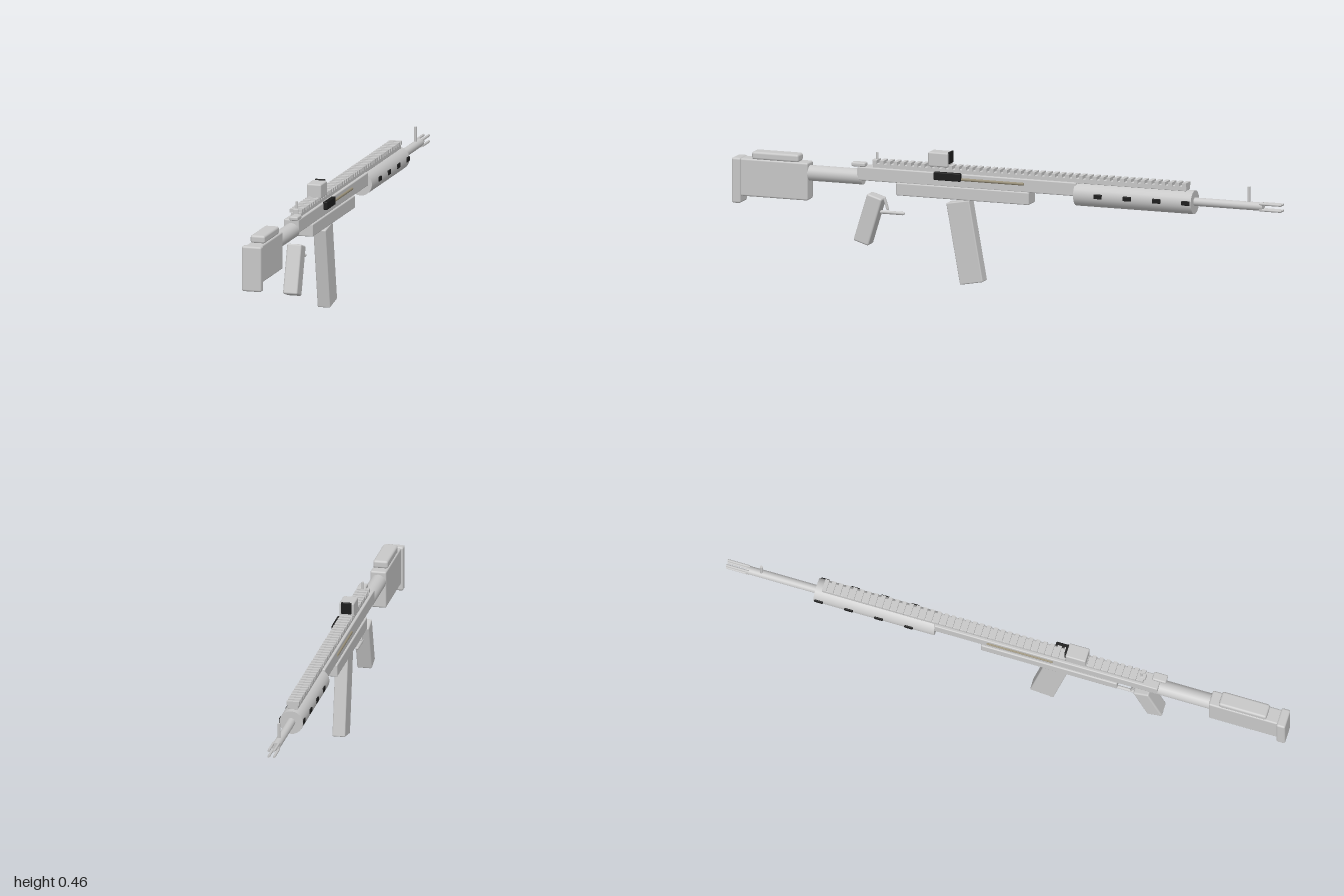
import * as THREE from 'three';
import { RoundedBoxGeometry } from 'three/addons/geometries/RoundedBoxGeometry.js';

const material = (name, color) => {
  const m = new THREE.MeshStandardMaterial({ color });
  m.name = name;
  return m;
};

export function createModel() {
  const model = new THREE.Group();
  model.name = 'rifle';
  const grey = material('light grey', 0xc8c8c8);
  const black = material('black', 0x1c1c1c);
  const tan = material('dull tan', 0x9a917a);

  const add = (name, geometry, mat, x, y, z, parent = model) => {
    const mesh = new THREE.Mesh(geometry, mat);
    mesh.name = name;
    mesh.position.set(x, y, z);
    parent.add(mesh);
    return mesh;
  };
  // Bevelled block given by its extents
  const block = (name, [x0, x1], [y0, y1], [z0, z1], mat = grey, bevel = 0.004) =>
    add(name, new RoundedBoxGeometry(x1 - x0, y1 - y0, z1 - z0, 2, bevel), mat,
      (x0 + x1) / 2, (y0 + y1) / 2, (z0 + z1) / 2);
  // Cylinder lying along z
  const rod = (name, r, x, y, z0, z1, sides = 16, mat = grey, parent = model) =>
    add(name, new THREE.CylinderGeometry(r, r, z1 - z0, sides).rotateX(Math.PI / 2), mat,
      x, y, (z0 + z1) / 2, parent);

  // Stock
  block('buttPad', [-0.035, 0.035], [0.232, 0.39], [0.968, 1], grey, 0.007);
  block('stock', [-0.028, 0.028], [0.257, 0.388], [0.725, 0.972], grey, 0.006);
  block('cheekRest', [-0.026, 0.026], [0.386, 0.414], [0.76, 0.93], grey, 0.008);
  rod('bufferTube', 0.027, 0, 0.35, 0.53, 0.73, 24);

  // Receiver
  block('upperReceiver', [-0.027, 0.027], [0.342, 0.389], [-0.255, 0.543]);
  block('lowerReceiver', [-0.033, 0.033], [0.3, 0.344], [-0.085, 0.4]);
  block('rearHandle', [0, 0.03], [0.389, 0.404], [0.515, 0.565], grey, 0.005);
  block('boltHandle', [0.025, 0.041], [0.365, 0.393], [0.163, 0.26], black, 0.003);
  for (const s of [-1, 1]) rod('boltTrack', 0.005, s * 0.027, 0.371, -0.065, 0.17, 8, tan);

  // Grip and magazine lean opposite ways
  const grip = add('grip', new RoundedBoxGeometry(0.052, 0.173, 0.057, 2, 0.006), grey, 0, 0.206, 0.507);
  grip.rotation.x = -0.297;
  const magazine = add('magazine', new RoundedBoxGeometry(0.045, 0.286, 0.085, 2, 0.004), grey, 0, 0.151, 0.154);
  magazine.rotation.x = 0.178;

  // Trigger and its guard
  const trigger = add('trigger', new RoundedBoxGeometry(0.012, 0.045, 0.008, 1, 0.003), grey, 0, 0.262, 0.448);
  trigger.rotation.x = 0.3;
  add('triggerGuard', new THREE.CapsuleGeometry(0.006, 0.08, 4, 10).rotateX(Math.PI / 2), grey, 0, 0.232, 0.426);

  // Handguard with dark vents down both sides
  rod('handguard', 0.041, 0, 0.347, -0.68, -0.25, 24);
  for (let i = 0; i < 4; i++) {
    for (const s of [-1, 1]) {
      const x = s * 0.039, z = -0.34 - i * 0.107;
      block('vent', [x - 0.005, x + 0.005], [0.341, 0.357], [z - 0.015, z + 0.015], black, 0.002);
    }
  }

  // Top rail with cross teeth
  block('railBase', [-0.018, 0.018], [0.386, 0.403], [-0.655, 0.49], grey, 0.002);
  const teeth = new THREE.Group();
  teeth.name = 'railTeeth';
  model.add(teeth);
  const tooth = new THREE.BoxGeometry(0.044, 0.013, 0.014);
  const count = 46;
  for (let i = 0; i < count; i++) {
    add('railTooth', tooth, grey, 0, 0.4075, 0.482 - (i / (count - 1)) * 1.13, teeth);
  }

  // Sights
  block('opticHousing', [-0.026, 0.026], [0.408, 0.458], [0.214, 0.286], grey, 0.005);
  block('opticLens', [-0.018, 0.018], [0.42, 0.461], [0.208, 0.215], black, 0.002);
  add('rearSight', new THREE.CylinderGeometry(0.0045, 0.0045, 0.05, 10), grey, 0, 0.414, 0.48);
  add('rearSightBase', new RoundedBoxGeometry(0.02, 0.02, 0.02, 1, 0.003), grey, 0, 0.405, 0.485);
  add('frontSight', new THREE.CylinderGeometry(0.005, 0.005, 0.06, 10), grey, 0, 0.385, -0.877);

  // Barrel and pronged muzzle
  rod('barrel', 0.0145, 0, 0.349, -0.93, -0.67, 20);
  for (const sx of [-1, 1]) {
    for (const sy of [-1, 1]) {
      rod('muzzleProng', 0.0045, sx * 0.0095, 0.349 + sy * 0.0105, -1, -0.92, 8);
    }
  }

  return model;
}
